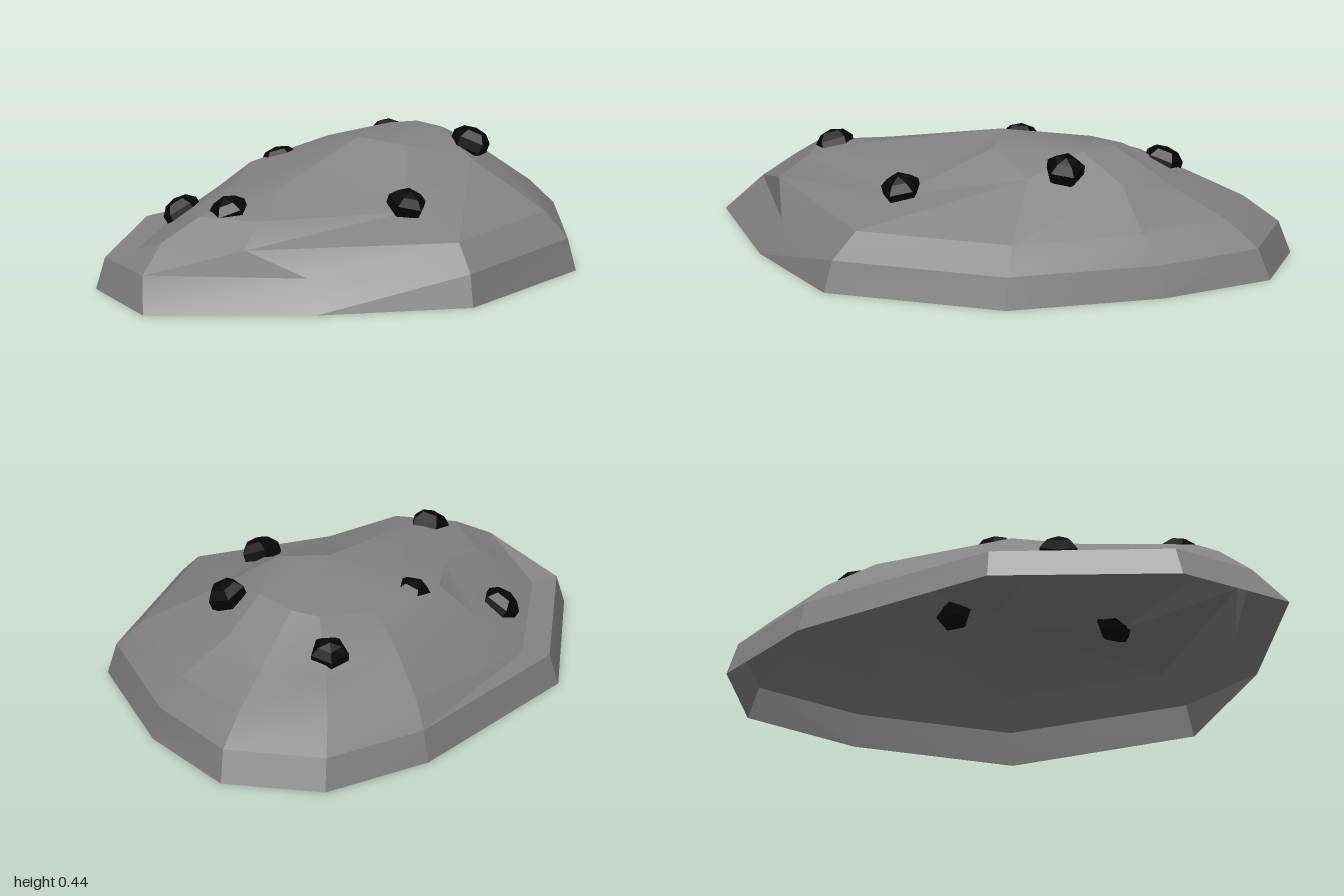
import * as THREE from 'three';
import { toCreasedNormals } from 'three/addons/utils/BufferGeometryUtils.js';

// Cross-sections of the mound from the ground up, ten [x, y, z] corners each
const RINGS = [
  [[-0.165, 0, -1], [0.2, 0, -1], [0.5, 0, -0.69], [0.76, 0, -0.19], [0.65, 0, 0.465],
   [0.2, 0, 0.775], [-0.35, 0, 1], [-0.65, 0, 0.69], [-0.765, 0, 0.03], [-0.46, 0, -0.69]],
  [[-0.16, 0.11, -0.96], [0.2, 0.11, -0.96], [0.48, 0.11, -0.67], [0.73, 0.11, -0.19], [0.63, 0.11, 0.44],
   [0.14, 0.11, 0.71], [-0.4, 0.11, 0.88], [-0.63, 0.105, 0.66], [-0.735, 0.105, 0.03], [-0.44, 0.11, -0.67]],
  [[-0.14, 0.2, -0.84], [0.17, 0.2, -0.84], [0.42, 0.2, -0.6], [0.645, 0.2, -0.19], [0.56, 0.2, 0.37],
   [-0.07, 0.2, 0.76], [-0.38, 0.2, 0.76], [-0.56, 0.107, 0.59], [-0.64, 0.107, 0.03], [-0.4, 0.19, -0.6]],
  [[-0.1, 0.28, -0.67], [0.13, 0.28, -0.67], [0.27, 0.33, -0.5], [0.37, 0.36, -0.19], [0.32, 0.265, 0.27],
   [-0.07, 0.28, 0.66], [-0.28, 0.28, 0.66], [-0.38, 0.25, 0.52], [-0.48, 0.225, 0.03], [-0.3, 0.3, -0.45]],
  [[-0.03, 0.395, -0.44], [0.07, 0.41, -0.44], [0.2, 0.42, -0.35], [0.2, 0.42, -0.04], [0.17, 0.35, 0.12],
   [-0.1, 0.335, 0.42], [-0.22, 0.32, 0.4], [-0.32, 0.3, 0.27], [-0.35, 0.33, 0.03], [-0.2, 0.365, -0.3]],
];
const PEAK = [0.02, 0.437, -0.03];

// Ore lumps: centre of each one on the slope
const LUMPS = [
  [-0.09, 0.32, -0.57], [0.32, 0.385, -0.31], [-0.27, 0.322, -0.04],
  [-0.52, 0.183, 0.23], [-0.2, 0.288, 0.59], [0.32, 0.288, 0.26],
];

// Open shell: rings joined by triangle pairs and closed at the peak
function moundGeometry() {
  const count = RINGS[0].length;
  const index = [];
  for (let i = 0; i < RINGS.length; i++) {
    for (let j = 0; j < count; j++) {
      const a = i * count + j;
      const b = i * count + (j + 1) % count;
      if (i === RINGS.length - 1) index.push(a, RINGS.length * count, b);
      else index.push(a, a + count, b, b, a + count, b + count);
    }
  }
  const geometry = new THREE.BufferGeometry();
  const points = [...RINGS.flat(), PEAK].flat();
  geometry.setAttribute('position', new THREE.Float32BufferAttribute(points, 3));
  geometry.setIndex(index);
  return toCreasedNormals(geometry, 0.28);
}

export function createModel() {
  const model = new THREE.Group();
  model.name = 'oreMound';

  const stone = new THREE.MeshStandardMaterial({ color: 0x848484, side: THREE.DoubleSide });
  stone.name = 'grey stone';
  const ore = new THREE.MeshStandardMaterial({ color: 0x060606, flatShading: true });
  ore.name = 'black ore';

  const mound = new THREE.Mesh(moundGeometry(), stone);
  mound.name = 'rockMound';
  model.add(mound);

  // Five-sided flattened lumps, each leaning out with the slope
  const lumpGeometry = new THREE.SphereGeometry(0.072, 5, 5);
  lumpGeometry.scale(1, 0.75, 1);
  const up = new THREE.Vector3(0, 1, 0);
  LUMPS.forEach(([x, y, z], i) => {
    const lump = new THREE.Mesh(lumpGeometry, ore);
    lump.name = `oreLump${i + 1}`;
    lump.position.set(x, y, z);
    const slope = new THREE.Vector3(x * 1.2, 1, z * 0.6).normalize();
    lump.quaternion.setFromUnitVectors(up, slope);
    lump.rotateY(i * 1.3);
    model.add(lump);
  });

  return model;
}
